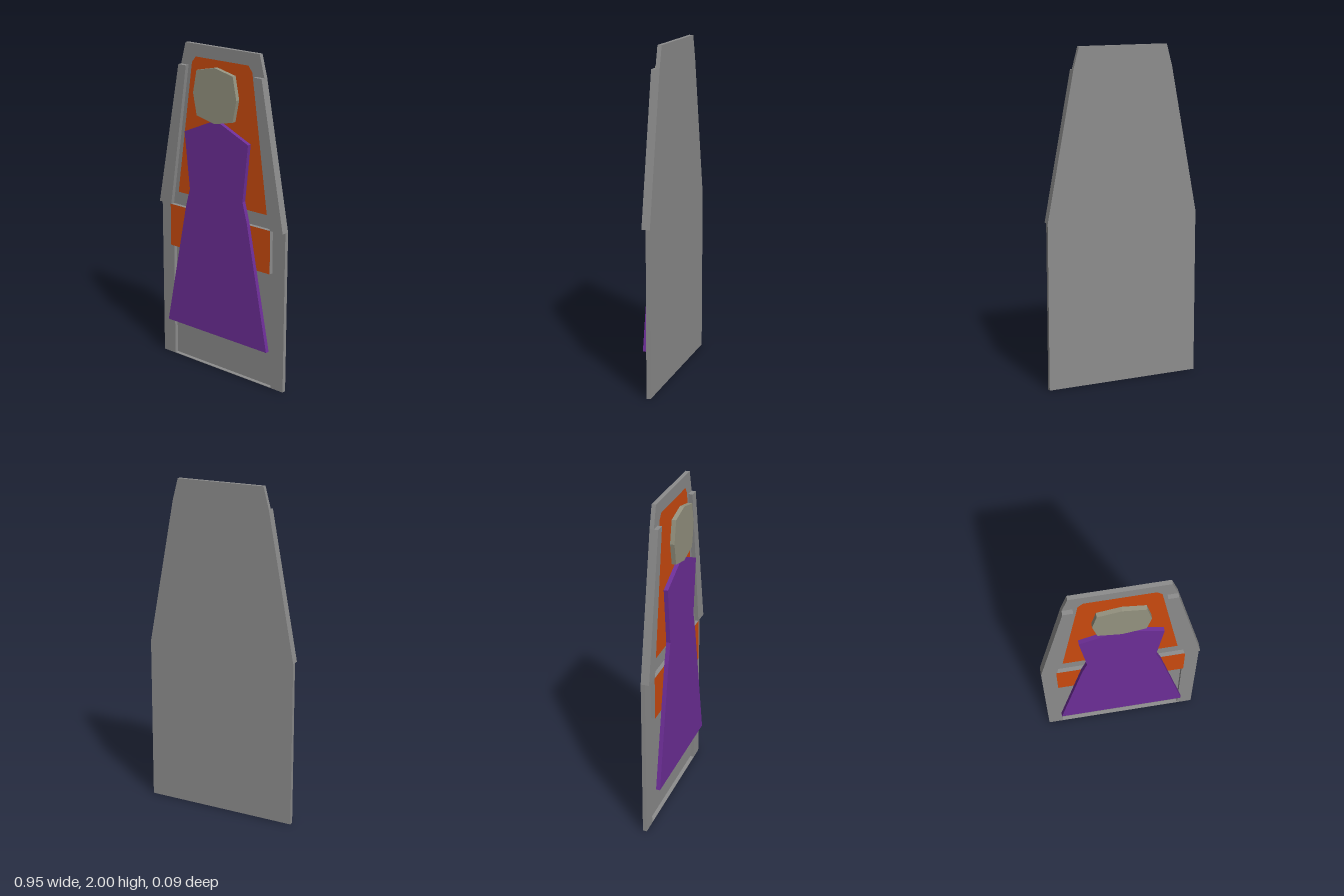
import * as THREE from 'three';

const GREY = 0x8c8c8c, ORANGE = 0xcc4b0f, PURPLE = 0x6d2e98, STONE = 0x959380;

// closed shape from a list of [x, y] corners
const shapeOf = (pts) => new THREE.Shape(pts.map(([x, y]) => new THREE.Vector2(x, y)));

// symmetric outline from its right half, listed from bottom to top
const mirrored = (half) =>
  shapeOf([...half, ...half.filter(([x]) => x > 0).reverse().map(([x, y]) => [-x, y])]);

function addMesh(group, name, geometry, color, side = THREE.FrontSide) {
  const mesh = new THREE.Mesh(
    geometry, new THREE.MeshStandardMaterial({ color, flatShading: true, side }));
  mesh.name = name;
  group.add(mesh);
  return mesh;
}

// flat slab of a shape between two depths
function addSlab(group, name, shape, z0, z1, color) {
  const geometry = new THREE.ExtrudeGeometry(shape, { depth: z1 - z0, bevelEnabled: false });
  return addMesh(group, name, geometry.translate(0, 0, z0), color);
}

// thin coloured inlay lying on a surface
function addInlay(group, name, shape, z) {
  const mesh = addMesh(group, name, new THREE.ShapeGeometry(shape), ORANGE, THREE.DoubleSide);
  mesh.position.z = z;
}

export function createModel() {
  const model = new THREE.Group();
  model.name = 'model';

  // tapered board: thin back sheet and a body with a recess in its lower half
  const outline = [[0.475, 0], [0.475, 1], [0.31, 1.87], [0.275, 2]];
  addSlab(model, 'backSheet', mirrored(outline), -0.045, -0.043, GREY);
  const body = mirrored(outline);
  body.holes.push(shapeOf([[-0.383, 0.003], [-0.383, 0.99], [0.383, 0.99], [0.383, 0.003]]));
  addSlab(model, 'board', body, -0.043, -0.02, GREY);

  // raised wings along the tapering upper sides
  for (const s of [1, -1]) {
    const wing = shapeOf([[0.38, 1], [0.475, 1], [0.31, 1.87], [0.252, 1.87]].map(([x, y]) => [s * x, y]));
    addSlab(model, s > 0 ? 'leftWing' : 'rightWing', wing, -0.02, 0.005, GREY);
  }

  // crossbar with an orange front
  const bar = mirrored([[0.385, 0.735], [0.385, 1]]);
  addSlab(model, 'crossbar', bar, -0.02, 0.0045, GREY);
  addInlay(model, 'crossbarInlay', bar, 0.005);

  // orange panel behind the head and shoulders
  addInlay(model, 'upperInlay',
    mirrored([[0.34, 1.08], [0.225, 1.89], [0.196, 1.926]]), -0.019);

  // figure: flaring robe and faceted head
  addSlab(model, 'robe',
    mirrored([[0.388, 0.25], [0.235, 1.02], [0.202, 1.14], [0.24, 1.485], [0, 1.59]]),
    0.008, 0.033, PURPLE);
  addSlab(model, 'head',
    mirrored([[0, 1.57], [0.135, 1.6], [0.162, 1.73], [0.135, 1.865], [0, 1.895]]),
    0.018, 0.044, STONE);

  return model;
}
